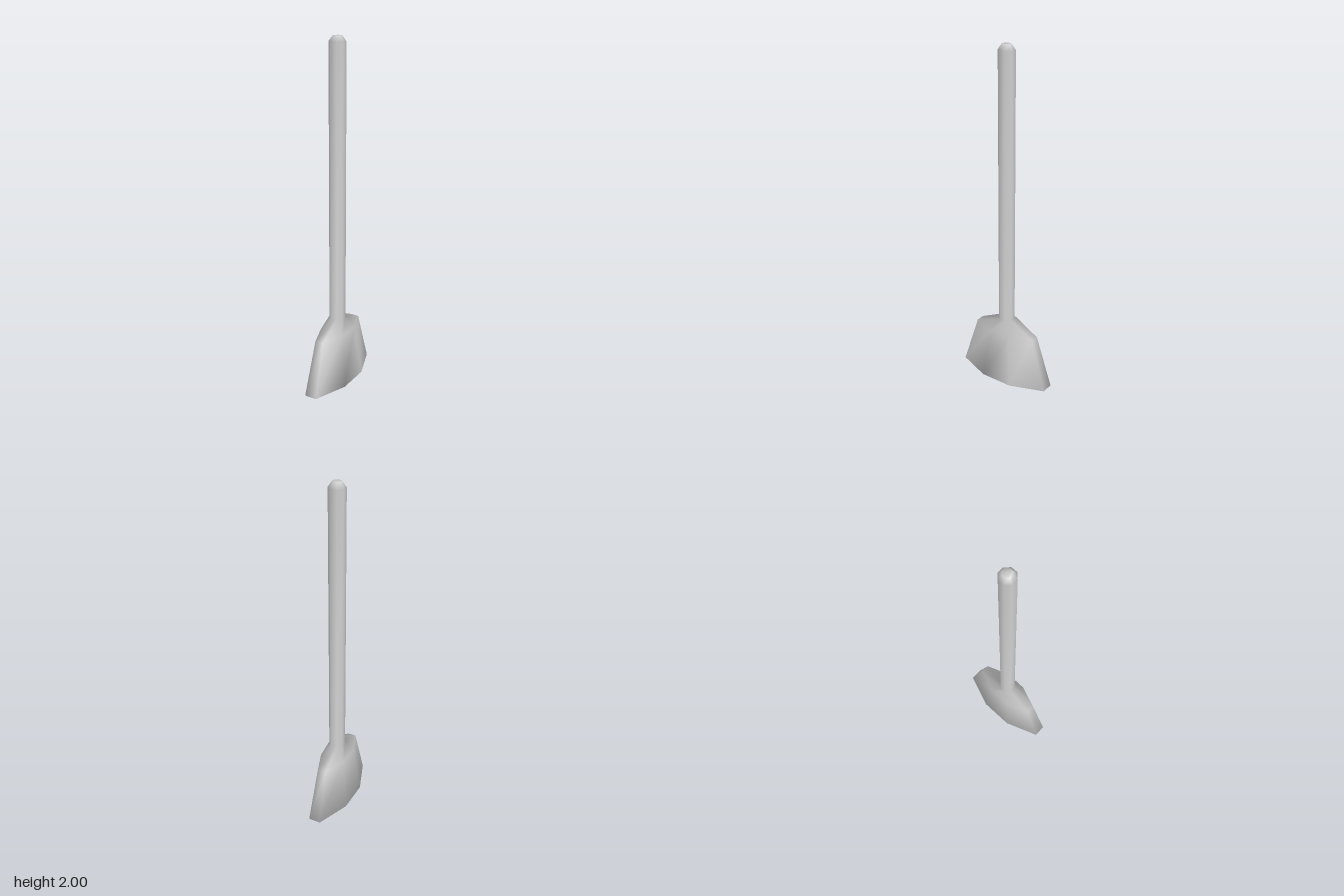
import * as THREE from 'three';

// Eight-sided ring: w x l are the half extents, m and n the half lengths of the end and side edges
function ring([y, w, n, m, l]) {
  return [[w, n], [m, l], [-m, l], [-w, n], [-w, -n], [-m, -l], [m, -l], [w, -n]]
    .flatMap(([x, z]) => [x, y, z]);
}

// Side faces between ring r and the ring above it
function band(r) {
  const faces = [];
  for (let i = 0; i < 8; i++) {
    const a = r * 8 + i, b = r * 8 + (i + 1) % 8;
    faces.push(a, a + 8, b, b, a + 8, b + 8);
  }
  return faces;
}

// Flat end closing ring r
function cap(r, up) {
  const faces = [];
  for (let i = 1; i < 7; i++) {
    const a = r * 8, b = a + i, c = b + 1;
    faces.push(...(up ? [a, c, b] : [a, b, c]));
  }
  return faces;
}

export function createModel() {
  const group = new THREE.Group();
  group.name = 'broom';
  const grey = new THREE.MeshStandardMaterial({ color: 0xcccccc });
  grey.name = 'plain grey';

  // y, half width, side half edge, end half edge, half length
  const sections = [
    [0, 0.111, 0.098, 0.036, 0.296],        // sweeping edge
    [0.31, 0.076, 0.066, 0.025, 0.2],       // shoulder
    [0.39, 0.044, 0.018, 0.018, 0.044],     // neck
    [1.97, 0.044, 0.018, 0.018, 0.044],     // handle top
    [2, 0.024, 0.01, 0.01, 0.024],          // rounded tip
  ];
  const headFaces = [...cap(0, false), ...band(0), ...band(1)];
  const handleFaces = [...band(2), ...band(3), ...cap(4, true)];

  // Normals run smoothly over the whole broom, then the faces are split by part
  const whole = new THREE.BufferGeometry();
  whole.setAttribute('position', new THREE.Float32BufferAttribute(sections.flatMap(ring), 3));
  whole.setIndex([...headFaces, ...handleFaces]);
  whole.computeVertexNormals();

  for (const [name, faces] of [['broomHead', headFaces], ['handle', handleFaces]]) {
    const part = whole.clone();
    part.setIndex(faces);
    const mesh = new THREE.Mesh(part, grey);
    mesh.name = name;
    group.add(mesh);
  }
  return group;
}
